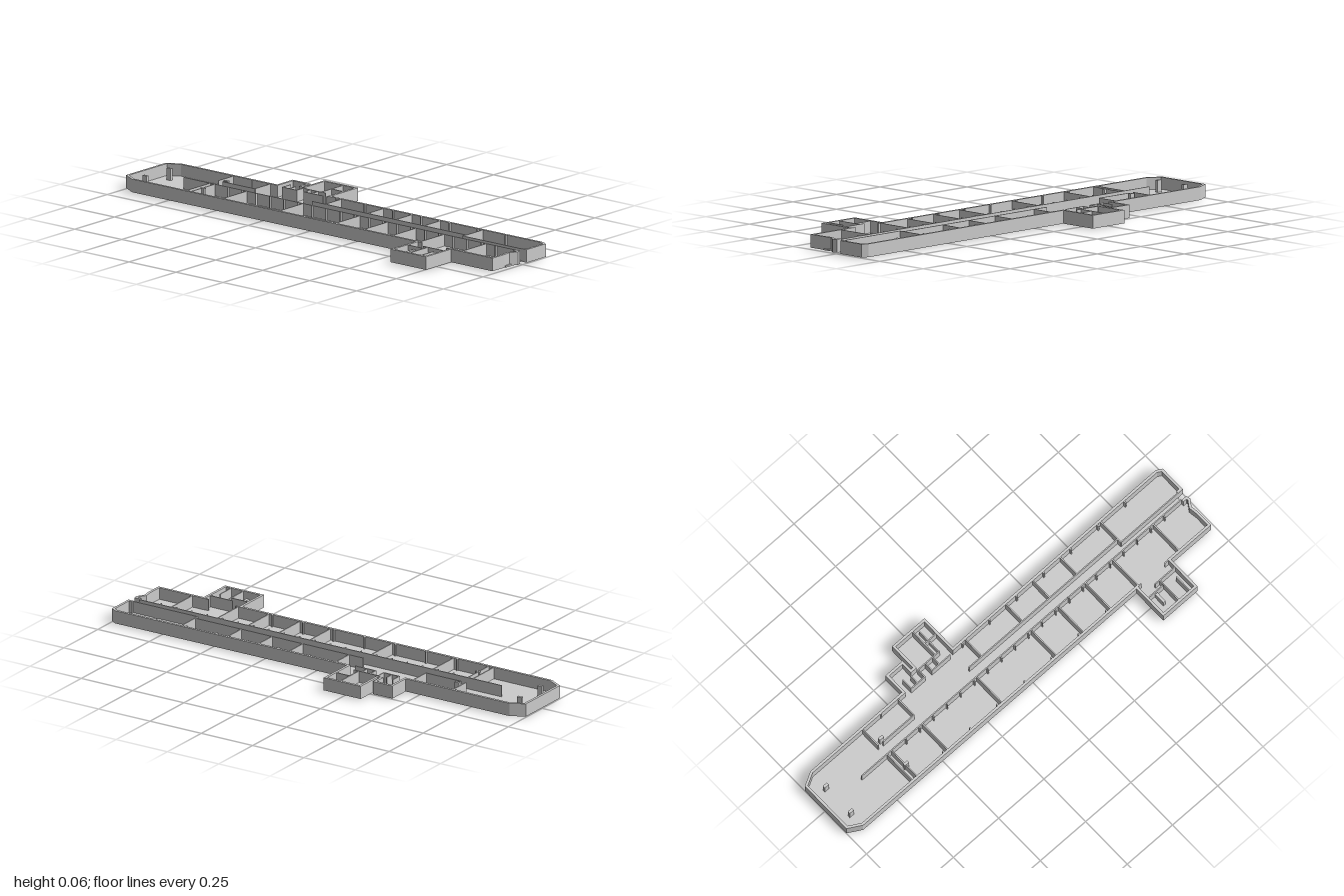
import * as THREE from 'three';
import { mergeGeometries } from 'three/addons/utils/BufferGeometryUtils.js';

const BASE = 0.003, FLOOR = 0.008, TOP = 0.058;

// Plan outline as [x, z], running from the entrance round the building and back to it
const OUTLINE = [
  [0.025, 0.975], [0.025, 1], [0.145, 1], [0.16, 0.975],
  [0.155, -0.15], [0.325, -0.15], [0.325, -0.33], [0.2, -0.33], [0.2, -0.34],
  [0.25, -0.34], [0.25, -0.435], [0.152, -0.435],
  [0.152, -0.94], [0.12, -1], [-0.13, -1], [-0.165, -0.94],
  [-0.165, 0.57], [-0.325, 0.57], [-0.325, 0.76], [-0.167, 0.76],
  [-0.167, 0.98], [-0.09, 0.98], [-0.055, 0.975], [-0.025, 0.995], [-0.006, 0.99], [-0.006, 0.965],
];

// Extrude a plan polygon between two heights
function prism(points, y0, y1) {
  const shape = new THREE.Shape(points.map(([x, z]) => new THREE.Vector2(x, -z)));
  const g = new THREE.ExtrudeGeometry(shape, { depth: y1 - y0, bevelEnabled: false });
  return g.rotateX(-Math.PI / 2).translate(0, y0, 0);
}

// Move an open path inwards with mitred corners
function inset(path, t) {
  const normal = (a, b) => {
    const dx = b[0] - a[0], dz = b[1] - a[1], l = Math.hypot(dx, dz);
    return [dz / l, -dx / l];
  };
  return path.map((p, i) => {
    const a = i > 0 ? normal(path[i - 1], p) : normal(p, path[i + 1]);
    const b = i < path.length - 1 ? normal(p, path[i + 1]) : a;
    const k = t / (1 + a[0] * b[0] + a[1] * b[1]);
    return [p[0] + (a[0] + b[0]) * k, p[1] + (a[1] + b[1]) * k];
  });
}

// Axis-aligned block given by its plan corners and heights
function block(x0, z0, x1, z1, y1 = TOP, y0 = FLOOR - 0.001) {
  return new THREE.BoxGeometry(x1 - x0, y1 - y0, z1 - z0)
    .translate((x0 + x1) / 2, (y0 + y1) / 2, (z0 + z1) / 2);
}
const T = 0.005;
const wallX = (x0, x1, z, h = TOP - 0.001) => block(x0, z - T / 2, x1, z + T / 2, h);
const wallZ = (x, z0, z1, h = TOP - 0.001) => block(x - T / 2, z0, x + T / 2, z1, h);

export function createModel() {
  const group = new THREE.Group();
  const material = new THREE.MeshStandardMaterial({ color: 0xcccccc, flatShading: true });
  const add = (name, parts) => {
    const mesh = new THREE.Mesh(mergeGeometries(parts.map((g) => (g.index ? g.toNonIndexed() : g))), material);
    mesh.name = name;
    group.add(mesh);
  };

  add('floor', [prism(OUTLINE, BASE, FLOOR)]);
  add('outerWall', [prism([...OUTLINE, ...inset(OUTLINE, 0.011).reverse()], BASE, TOP)]);

  // Long walls on both sides of the corridor
  add('corridorWalls', [
    wallZ(-0.003, -0.635, 0.965),
    wallZ(0.047, -0.635, -0.465),
    wallZ(0.047, -0.16, 0.66),
    wallZ(0.027, 0.66, 0.98),
    wallX(0.027, 0.15, 0.66),
  ]);

  // Cross walls between the rooms
  const leftRooms = [-0.635, -0.465, -0.165, 0.135, 0.285, 0.435, 0.585, 0.81].map((z) => wallX(-0.158, -0.003, z));
  const rightRooms = [-0.465, -0.09, 0.135, 0.285, 0.435].map((z) => wallX(0.047, 0.15, z));
  add('roomWalls', [...leftRooms, ...rightRooms]);

  // Back hall: end wall, partial divider and posts
  const posts = [];
  for (const x of [-0.085, 0.065])
    for (const z of [-0.935, -0.63]) posts.push(block(x - 0.006, z - 0.011, x + 0.006, z + 0.011));
  add('hallPosts', posts);
  add('hallWalls', [wallX(-0.158, -0.003, -0.66), wallX(0.047, 0.146, -0.66), wallZ(-0.003, -0.8, -0.635)]);

  // Short fins along the corridor and pilasters on the side walls
  const fins = [];
  for (let i = 0; i < 20; i++) {
    const z = -0.56 + i * 0.075;
    fins.push(block(-0.015, z - 0.002, -0.003, z + 0.002));
    if (i % 2 === 0 && (z < -0.45 || z > -0.13)) fins.push(block(0.138, z - 0.003, 0.15, z + 0.003));
    if (i % 2 === 1 && z < 0.55) fins.push(block(-0.158, z - 0.003, -0.146, z + 0.003));
  }
  add('pilasters', fins);

  // Right wings: partitions and small shafts
  add('rightWingWalls', [
    wallZ(0.18, -0.32, -0.2),
    wallX(0.18, 0.316, -0.225), wallX(0.18, 0.3, -0.2, 0.04), wallZ(0.245, -0.225, -0.158),
    wallX(0.137, 0.19, -0.395), wallX(0.137, 0.18, -0.36), wallZ(0.139, -0.395, -0.32),
    wallX(0.137, 0.18, -0.28), wallX(0.137, 0.18, -0.24), wallZ(0.139, -0.28, -0.18),
    wallX(0.137, 0.18, -0.32),
  ]);

  // Left wing: partitions and a counter
  add('leftWingWalls', [
    wallZ(-0.2, 0.64, 0.75), wallZ(-0.225, 0.58, 0.66),
    wallX(-0.316, -0.2, 0.665), wallX(-0.316, -0.235, 0.725),
    block(-0.28, 0.612, -0.23, 0.625, 0.045),
    wallZ(-0.16, 0.58, 0.6), wallZ(-0.16, 0.73, 0.755),
  ]);

  // Raised sill in front of the entrance
  add('entranceSill', [block(-0.088, 0.97, -0.05, 0.985, 0.01, BASE)]);

  // Thin plates under the floor
  const plates = [
    [-0.085, -0.935], [0.065, -0.935], [-0.085, -0.63], [0.065, -0.63],
  ].map(([x, z]) => block(x - 0.006, z - 0.012, x + 0.006, z + 0.012, BASE + 0.001, 0));
  plates.push(block(0.14, -0.27, 0.18, -0.235, BASE + 0.001, 0), block(0.14, -0.35, 0.18, -0.315, BASE + 0.001, 0));
  for (const x of [-0.09, -0.02, 0.06]) plates.push(block(x - 0.003, 0.8, x + 0.003, 0.96, BASE + 0.001, 0));
  for (const z of [0.8, 0.88]) plates.push(block(-0.09, z - 0.003, 0.06, z + 0.003, BASE + 0.001, 0.0005));
  add('underPlates', plates);

  return group;
}
